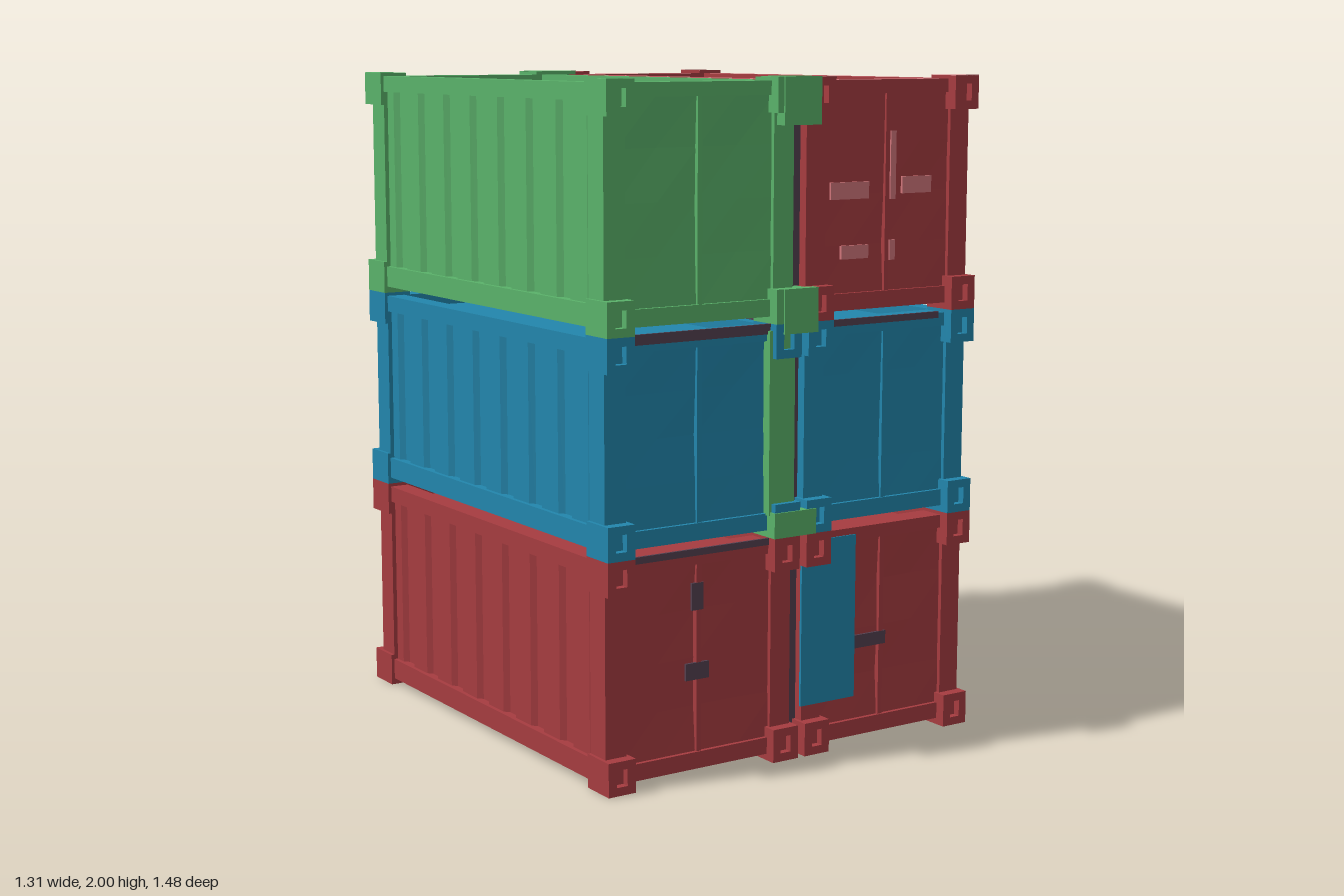
import * as THREE from 'three';

const mat = (name, color) => {
  const m = new THREE.MeshStandardMaterial({ color });
  m.name = name;
  return m;
};

export function createModel() {
  const red = mat('red', 0xa63c40), pink = mat('pink', 0xd0757a), green = mat('green', 0x5ab26a);
  const blue = mat('blue', 0x2286ac), yellow = mat('yellow', 0xc4943e), dark = mat('dark plum', 0x54404f);
  const root = new THREE.Group();
  root.name = 'containerStack';

  const add = (parent, name, geo, material) => {
    const m = new THREE.Mesh(geo, material);
    m.name = name;
    parent.add(m);
    return m;
  };

  // Box between two corners; an optional second material paints its top face
  const box = (parent, name, m, x0, x1, y0, y1, z0, z1, top) => {
    const b = add(parent, name, new THREE.BoxGeometry(x1 - x0, y1 - y0, z1 - z0),
      top ? [m, m, top, m, m, m] : m);
    b.position.set((x0 + x1) / 2, (y0 + y1) / 2, (z0 + z1) / 2);
    return b;
  };

  // Seeded noise for dents
  let seed = 7;
  const rand = () => (seed = (seed * 16807) % 2147483647) / 2147483647;

  // Sheet facing +z, dented inward at its inner points
  const dentedSheet = (w, h, nx, ny, depth) => {
    const g = new THREE.PlaneGeometry(w, h, nx, ny), p = g.attributes.position;
    for (let i = 0; i < p.count; i++) {
      const edge = Math.abs(p.getX(i)) > w * 0.49 || Math.abs(p.getY(i)) > h * 0.49;
      if (!edge) p.setZ(i, -depth * rand());
    }
    const flat = g.toNonIndexed();
    flat.computeVertexNormals();
    return flat;
  };

  // Corrugated body: zigzag plan outline extruded upward
  const corrugated = (x0, x1, y0, y1, z0, z1) => {
    const n = Math.max(1, Math.round((z1 - z0) / 0.17)), step = (z1 - z0) / n, side = [];
    for (let i = 0; i < n; i++)
      for (const [t, d] of [[0, 0], [0.55, 0], [0.65, 0.014], [0.9, 0.014]]) side.push([z0 + (i + t) * step, d]);
    side.push([z1, 0]);
    const pts = side.map(([z, d]) => new THREE.Vector2(x1 - d, -z));
    side.reverse().forEach(([z, d]) => pts.push(new THREE.Vector2(x0 + d, -z)));
    const g = new THREE.ExtrudeGeometry(new THREE.Shape(pts), { depth: y1 - y0, bevelEnabled: false });
    return g.rotateX(-Math.PI / 2).translate(0, y0, 0);
  };

  // Corner block with a socket in its end face
  const casting = (parent, m, x0, x1, y0, y1, s, top) => {
    const zs = [s * 0.62, s * 0.71].sort((a, b) => a - b);
    box(parent, 'cornerCasting', m, x0, x1, y0, y1, zs[0], zs[1], top);
    const w = (x1 - x0) / 2, h = (y1 - y0) / 2, rect = (a, b) =>
      [[-a, -b], [a, -b], [a, b], [-a, b]].map(([x, y]) => new THREE.Vector2(x, y));
    const shape = new THREE.Shape(rect(w, h));
    shape.holes.push(new THREE.Path(rect(w * 0.4, h * 0.5)));
    const g = new THREE.ExtrudeGeometry(shape, { depth: 0.025, bevelEnabled: false });
    const ring = add(parent, 'castingSocket', g, m);
    ring.position.set((x0 + x1) / 2, (y0 + y1) / 2, s > 0 ? 0.708 : -0.733);
    if (top) box(parent, 'castingTop', top, x0, x1, y1 - 0.002, y1 + 0.001, s > 0 ? 0.708 : -0.733, s > 0 ? 0.733 : -0.708);
  };

  const container = ({ name, x0, x1, y0, y1, front, back = front, split, roof }) => {
    const g = new THREE.Group();
    g.name = name;
    root.add(g);
    const spans = split === undefined ? [[-0.69, 0.69, front]] : [[-0.69, split, back], [split, 0.69, front]];
    const a = x0 + 0.01, b = x1 - 0.01, lo = y0 + 0.02, hi = y1 - 0.01;

    // Walls and long rails, one run per colour
    for (const [z0, z1, m] of spans) {
      const c0 = Math.max(z0, -0.67), c1 = Math.min(z1, 0.67);
      add(g, 'corrugatedWalls', corrugated(a + 0.013, b - 0.013, y0 + 0.04, y1 - 0.05, c0, c1), m);
      for (const [r0, r1] of [[a, a + 0.06], [b - 0.06, b]]) {
        box(g, 'bottomRail', m, r0, r1, lo, y0 + 0.085, z0, z1);
        box(g, 'topRail', m, r0, r1, y1 - 0.06, hi, z0, z1, roof);
      }
    }

    // Ends: frame, dented doors, lock bars
    for (const [s, m] of [[1, front], [-1, back]]) {
      const z = [s * 0.62, s * 0.7].sort((p, q) => p - q);
      box(g, 'endSill', m, a, b, lo, y0 + 0.07, z[0], z[1]);
      box(g, 'endHeader', m, a, b, y1 - 0.05, hi, z[0], z[1], roof);
      box(g, 'cornerPost', m, a, a + 0.07, lo, hi, z[0], z[1], roof);
      box(g, 'cornerPost', m, b - 0.07, b, lo, hi, z[0], z[1], roof);
      const door = add(g, 'doors', dentedSheet(b - a - 0.1, y1 - y0 - 0.1, 4, 4, 0.014), m);
      door.position.set((a + b) / 2, (y0 + y1) / 2 + 0.01, s * 0.688);
      if (s < 0) door.rotation.y = Math.PI;
      const mid = (a + b) / 2;
      const bz = [s * 0.67, s * 0.695].sort((p, q) => p - q);
      box(g, 'lockBar', m, mid - 0.008, mid + 0.008, y0 + 0.07, y1 - 0.05, bz[0], bz[1]);
      for (const [c0, c1] of [[x0, x0 + 0.09], [x1 - 0.09, x1]]) {
        casting(g, m, c0, c1, y0, y0 + 0.1, s);
        casting(g, m, c0, c1, y1 - 0.1, y1, s, roof);
      }
    }

    // Recessed sagging roof
    if (roof) {
      const r = add(g, 'roofPanel', dentedSheet(b - a - 0.1, 1.26, 2, 14, 0.015), roof);
      r.rotation.x = -Math.PI / 2;
      r.position.set((a + b) / 2, y1 - 0.03, 0);
    }
  };

  const L = { x0: -0.655, x1: 0.005 }, R = { x0: 0.03, x1: 0.655 };
  const rows = [{ y0: 0, y1: 0.675 }, { y0: 0.675, y1: 1.3 }, { y0: 1.3, y1: 2 }];
  container({ name: 'lowerRedContainer', ...L, ...rows[0], front: red });
  container({ name: 'lowerTwoToneContainer', ...R, ...rows[0], front: red, back: blue, split: -0.15 });
  container({ name: 'middleBlueContainer', ...L, ...rows[1], front: blue });
  container({ name: 'middleTwoToneContainer', ...R, ...rows[1], front: blue, back: yellow, split: -0.4 });
  container({ name: 'upperGreenContainer', ...L, ...rows[2], front: green, roof: green });
  container({ name: 'upperRedContainer', ...R, ...rows[2], front: red, roof: pink });

  // Fillers in the gap between the columns
  box(root, 'gapFiller', dark, -0.03, 0.06, 0.06, 1.9, -0.67, 0.67);
  box(root, 'gapTop', red, -0.01, 0.045, 1.9, 1.96, -0.67, 0.67);

  // Green joining blocks and front post
  for (const s of [1, -1]) {
    const z = [s * 0.62, s * 0.738].sort((p, q) => p - q);
    box(root, 'joiningBlock', green, -0.065, 0.065, 1.865, 2.002, z[0], z[1]);
    box(root, 'joiningBlock', green, -0.06, 0.06, 1.27, 1.4, z[0], z[1]);
    box(root, 'joiningBlock', green, -0.09, 0.06, 0.675, s > 0 ? 0.75 : 0.715, z[0], z[1]);
  }
  box(root, 'greenPost', green, -0.095, -0.005, 0.74, 1.28, 0.62, 0.715);

  // Painted plates on the ends: side s, centre x, y, size w, h
  const plate = (name, m, s, x, y, w, h, z = 0.692) =>
    box(root, name, m, x - w / 2, x + w / 2, y - h / 2, y + h / 2, s * z - 0.004, s * z + 0.004);
  plate('bluePatch', blue, 1, 0.135, 0.395, 0.2, 0.5, 0.7);
  plate('darkRowLine', dark, 1, -0.31, 1.285, 0.48, 0.03, 0.7);
  plate('darkRowLine', dark, 1, 0.3, 1.285, 0.48, 0.02, 0.7);
  plate('darkRowLine', dark, 1, -0.31, 0.662, 0.48, 0.02, 0.7);
  for (const [x, y, w, h] of [[-0.33, 0.31, 0.08, 0.05], [-0.33, 0.53, 0.04, 0.08], [0.3, 0.31, 0.12, 0.04]])
    plate('doorHandle', dark, 1, x, y, w, h);
  for (const x of [-0.33, 0.34]) for (const y of [0.33, 0.96])
    plate('doorHandle', dark, -1, x, y, 0.09, 0.025);
  for (const [x, y, w, h] of [[0.2, 1.67, 0.14, 0.05], [0.45, 1.68, 0.11, 0.05], [0.22, 1.49, 0.1, 0.04],
    [0.36, 1.74, 0.02, 0.2], [0.36, 1.49, 0.02, 0.06]]) plate('palePatch', pink, 1, x, y, w, h, 0.696);
  for (const [x, y, w, h] of [[0.42, 1.7, 0.03, 0.22], [0.28, 1.7, 0.03, 0.26], [0.35, 1.62, 0.2, 0.03]])
    plate('palePatch', pink, -1, x, y, w, h, 0.696);

  // Yellow run along the right rail and dark patch underneath
  box(root, 'yellowRail', yellow, 0.642, 0.649, 0.68, 0.745, -0.65, -0.1);
  box(root, 'undersidePatch', dark, 0.12, 0.56, 0.034, 0.042, -0.1, 0.45);
  return root;
}
